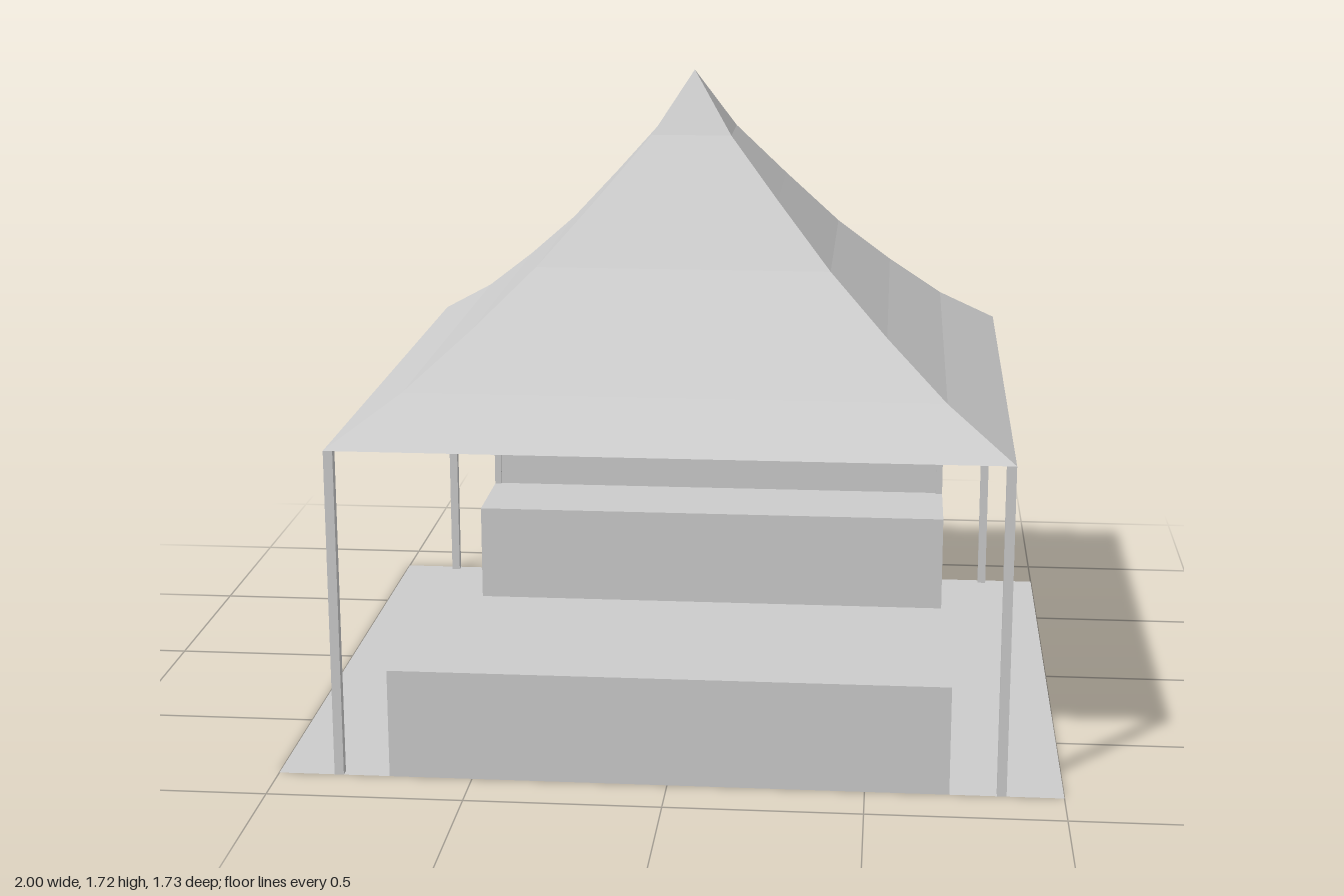
import * as THREE from 'three';

const material = new THREE.MeshStandardMaterial({ color: 0xcccccc, flatShading: true, side: THREE.DoubleSide });

function add(parent, name, geometry) {
  const mesh = new THREE.Mesh(geometry, material);
  mesh.name = name;
  parent.add(mesh);
  return mesh;
}

// Box given by its extents on each axis
function box(parent, name, [x0, x1], [y0, y1], [z0, z1]) {
  const mesh = add(parent, name, new THREE.BoxGeometry(x1 - x0, y1 - y0, z1 - z0));
  mesh.position.set((x0 + x1) / 2, (y0 + y1) / 2, (z0 + z1) / 2);
}

const EAVE = 0.86, MID_Z = 0.007, HALF = 0.856;
const COUNTER_W = 0.713, COUNTER_H = 0.286, BOARD = 0.02;

// Hollow counter: front board, two ends and a top, open at the back and below
function counter(parent, name, back, front) {
  const group = new THREE.Group();
  group.name = name;
  const inner = COUNTER_W - BOARD, under = COUNTER_H - BOARD;
  box(group, 'counterTop', [-COUNTER_W, COUNTER_W], [under, COUNTER_H], [back, front]);
  box(group, 'counterFront', [-inner, inner], [0, under], [front - BOARD, front]);
  box(group, 'counterRightEnd', [-COUNTER_W, -inner], [0, under], [back, front]);
  box(group, 'counterLeftEnd', [inner, COUNTER_W], [0, under], [back, front]);
  parent.add(group);
}

export function createModel() {
  const model = new THREE.Group();
  model.name = 'marketTent';

  // Sagging four-sided canopy, closed underneath
  const profile = [[0, EAVE], [HALF, EAVE], [0.688, 0.97], [0.535, 1.1], [0.385, 1.24],
    [0.24, 1.4], [0.107, 1.552], [0, 1.716]]
    .map(([r, y]) => new THREE.Vector2(r * Math.SQRT2, y));
  const roof = add(model, 'canopy', new THREE.LatheGeometry(profile, 4, Math.PI / 4).toNonIndexed());
  roof.geometry.computeVertexNormals();
  roof.position.z = MID_Z;

  // Corner posts
  for (const sx of [-1, 1]) for (const sz of [-1, 1]) {
    const post = add(model, 'cornerPost', new THREE.BoxGeometry(0.024, EAVE, 0.024));
    post.position.set(sx * (HALF - 0.012), EAVE / 2, MID_Z + sz * (HALF - 0.012));
  }

  // Floor sheet, left open beneath the back counter
  const rect = (Path, x, z0, z1) => new Path([[-x, -z1], [x, -z1], [x, -z0], [-x, -z0]]
    .map(([a, b]) => new THREE.Vector2(a, b)));
  const floor = rect(THREE.Shape, 1, MID_Z - HALF, MID_Z + HALF);
  floor.holes.push(rect(THREE.Path, COUNTER_W - 0.005, -0.843, -0.568));
  add(model, 'floor', new THREE.ShapeGeometry(floor).rotateX(-Math.PI / 2));

  // Counters, facing forward
  counter(model, 'frontCounter', 0.57, 0.863);
  counter(model, 'backCounter', -0.85, -0.565);

  // Back wall with slim side strips above the counter
  box(model, 'backWall', [-COUNTER_W, COUNTER_W], [0, EAVE], [-0.863, -0.85]);
  for (const s of [-1, 1]) {
    const strip = add(model, 'wallStrip', new THREE.BoxGeometry(BOARD, EAVE - COUNTER_H, 0.01));
    strip.position.set(s * (COUNTER_W - BOARD / 2), (EAVE + COUNTER_H) / 2, -0.845);
  }
  return model;
}
